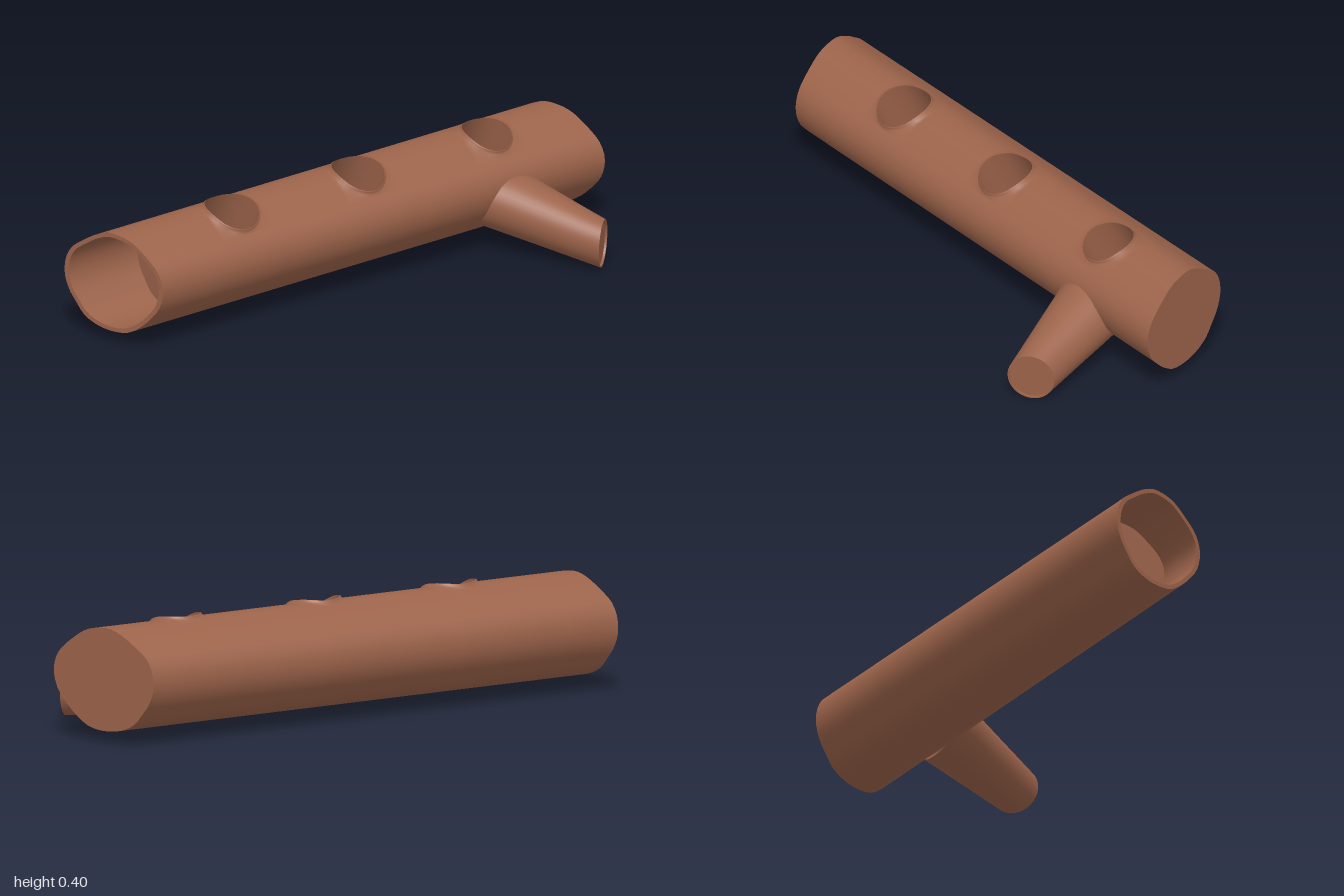
import * as THREE from 'three';
import { mergeGeometries, mergeVertices } from 'three/addons/utils/BufferGeometryUtils.js';

const V = (x, y, z) => new THREE.Vector3(x, y, z);
const { lerp } = THREE.MathUtils;

// Rounded, slightly uneven log section as [z, y], from the front upwards and over
const section = new THREE.CatmullRomCurve3([
  [0.03, 0.225], [0.02, 0.27], [0, 0.3], [-0.05, 0.342], [-0.1, 0.374], [-0.15, 0.387], [-0.2, 0.388],
  [-0.25, 0.37], [-0.3, 0.34], [-0.35, 0.303], [-0.375, 0.255], [-0.378, 0.2], [-0.36, 0.15],
  [-0.33, 0.11], [-0.3, 0.075], [-0.25, 0.05], [-0.19, 0.04], [-0.12, 0.047], [-0.07, 0.075],
  [-0.02, 0.12], [0.015, 0.165],
].map(([z, y]) => V(0, y, z)), true);
const girth = section.getLength();
const CORE = 0.19; // depth of the log's centre line

// Point on the log: position along it, distance around it, depth below the bark
function logPoint(x, around, depth = 0) {
  const p = section.getPointAt((((around / girth) % 1) + 1) % 1);
  const k = 1 - depth / CORE;
  p.y = 0.215 + (p.y - 0.215) * k;
  p.z = -0.178 + (p.z + 0.178) * k;
  p.z = -0.378 + (p.z + 0.378) * (0.978 + 0.022 * x);
  // both ends are sawn at a slant
  if (x < -0.7) p.x = lerp(-0.7, -1 + (p.z + 0.375) * 0.26, (-0.7 - x) / 0.3);
  else if (x > 0.75) p.x = lerp(0.75, 0.88 + (p.z + 0.375) * 0.3, (x - 0.75) / 0.25);
  else p.x = x;
  return p;
}

// Surface through a grid of points fn(u, v)
function grid(nu, nv, fn) {
  const pos = [], index = [];
  for (let i = 0; i <= nu; i++) {
    for (let j = 0; j <= nv; j++) pos.push(...fn(i / nu, j / nv).toArray());
  }
  for (let i = 0; i < nu; i++) {
    for (let j = 0; j < nv; j++) {
      const a = i * (nv + 1) + j, b = a + nv + 1;
      index.push(a, b, a + 1, b, b + 1, a + 1);
    }
  }
  const g = new THREE.BufferGeometry();
  g.setAttribute('position', new THREE.Float32BufferAttribute(pos, 3));
  g.setIndex(index);
  return g;
}

// Weld pieces so that shading runs smoothly over their seams
function weld(parts) {
  const g = mergeVertices(mergeGeometries(parts), 1e-4);
  g.computeVertexNormals();
  return g;
}

const HOLES = [
  { x: -0.49, r: 0.09, depth: 0.24 },
  { x: 0.055, r: 0.088, depth: 0.18 },
  { x: 0.61, r: 0.082, depth: 0.15 },
];
const HOLE_AROUND = 0.223, PATCH = 0.112, N = 10;

// Hole outline, scaled by k, and the square patch that frames it
function holeRing(h, angle, k, depth) {
  return logPoint(h.x + Math.cos(angle) * h.r * k, HOLE_AROUND + Math.sin(angle) * (h.r + 0.005) * k, depth);
}
function square(t) {
  const side = Math.floor(t * 4 + 1e-6) % 4, f = (t * 4 + 1e-6) % 1 * 2 - 1;
  return [[1, f], [-f, 1], [-1, -f], [f, -1]][side];
}

export function createModel() {
  const group = new THREE.Group();
  const wood = new THREE.MeshStandardMaterial({ color: 0x9c634a, side: THREE.DoubleSide });
  const add = (name, ...parts) => {
    const mesh = new THREE.Mesh(weld(parts), wood);
    mesh.name = name;
    group.add(mesh);
  };

  // bark: strips along the log, leaving square gaps for the holes
  const bark = [];
  const strip = (x0, x1, n, a0, a1, m) =>
    bark.push(grid(n, m, (u, v) => logPoint(lerp(x0, x1, u), lerp(a0, a1, v))));
  const low = HOLE_AROUND - PATCH, high = HOLE_AROUND + PATCH;
  const fullStrip = (x0, x1, n, gap) => {
    strip(x0, x1, n, high, low + girth, 44);
    if (!gap) strip(x0, x1, n, low, high, N);
  };
  let from = -0.7;
  fullStrip(-1, from, 3);
  for (const h of HOLES) {
    fullStrip(from, h.x - PATCH, 4);
    fullStrip(h.x - PATCH, h.x + PATCH, N, true);
    from = h.x + PATCH;
  }
  fullStrip(from, 0.75, 1);
  fullStrip(0.75, 1, 3);

  // each patch narrows from its square border to a low raised lip
  const lip = [null, [1.1, 0], [1.05, -0.01], [1, -0.012]];
  for (const h of HOLES) {
    bark.push(grid(4 * N, 3, (u, v) => {
      const [sx, sy] = square(u), step = lip[Math.round(v * 3)];
      if (!step) return logPoint(h.x + sx * PATCH, HOLE_AROUND + sy * PATCH);
      return holeRing(h, Math.atan2(sy, sx), ...step);
    }));
  }
  add('bark', ...bark);

  // bored holes with flat floors
  const axis = V(0, 0.89, 0.45).normalize();
  HOLES.forEach((h, i) => {
    const centre = logPoint(h.x, HOLE_AROUND);
    const angle = (u) => { const [sx, sy] = square(u); return Math.atan2(sy, sx); };
    const floorPoint = (u) => {
      const p = holeRing(h, angle(u), 1, -0.012);
      return p.addScaledVector(axis, -(p.clone().sub(centre).dot(axis) + h.depth));
    };
    const floorCentre = centre.clone().addScaledVector(axis, -h.depth);
    add(`holeWall${i + 1}`, grid(4 * N, 4, (u, v) => holeRing(h, angle(u), 1, -0.012).lerp(floorPoint(u), v)));
    add(`holeFloor${i + 1}`, grid(4 * N, 1, (u, v) => floorPoint(u).lerp(floorCentre, v)));
  });

  // sawn right end, and hollow left end with a thin rim
  const WALL = 0.016, SOCKET = -0.7;
  const around = (u) => low + u * girth;
  add('sawnEnd', grid(2, 54, (u, v) => logPoint(1, around(v), u * CORE)));
  add('hollowRim', grid(54, 1, (u, v) => logPoint(-1, around(u), v * WALL)));
  add('hollowWall', grid(54, 4, (u, v) => logPoint(lerp(-1, SOCKET, v), around(u), WALL)));
  add('hollowFloor', grid(54, 2, (u, v) => logPoint(SOCKET, around(u), lerp(WALL, CORE, v))));

  // tapered branch stub, from a tilted ring in the log to a slanted cut
  const ring = (c, a, b) => (t, k = 1) => c.clone()
    .addScaledVector(a, Math.cos(t * 2 * Math.PI) * k)
    .addScaledVector(b, Math.sin(t * 2 * Math.PI) * k);
  const base = ring(V(0.622, 0.162, -0.03), V(0.13, 0, 0), V(0, 0.1, 0.045));
  const tip = ring(V(0.748, 0.083, 0.325), V(0.061, 0, -0.051), V(0, 0.083, 0.004));
  const inset = V(-0.005, 0, -0.006);
  add('branch', grid(40, 6, (u, v) => base(u).lerp(tip(u), v)));
  add('branchRim', grid(40, 1, (u, v) => tip(u, 1 - 0.06 * v)));
  add('branchRecess', grid(40, 1, (u, v) => tip(u, 0.94).addScaledVector(inset, v)));
  add('branchCut', grid(40, 1, (u, v) => tip(u, 0.94 * (1 - v)).add(inset)));

  return group;
}
